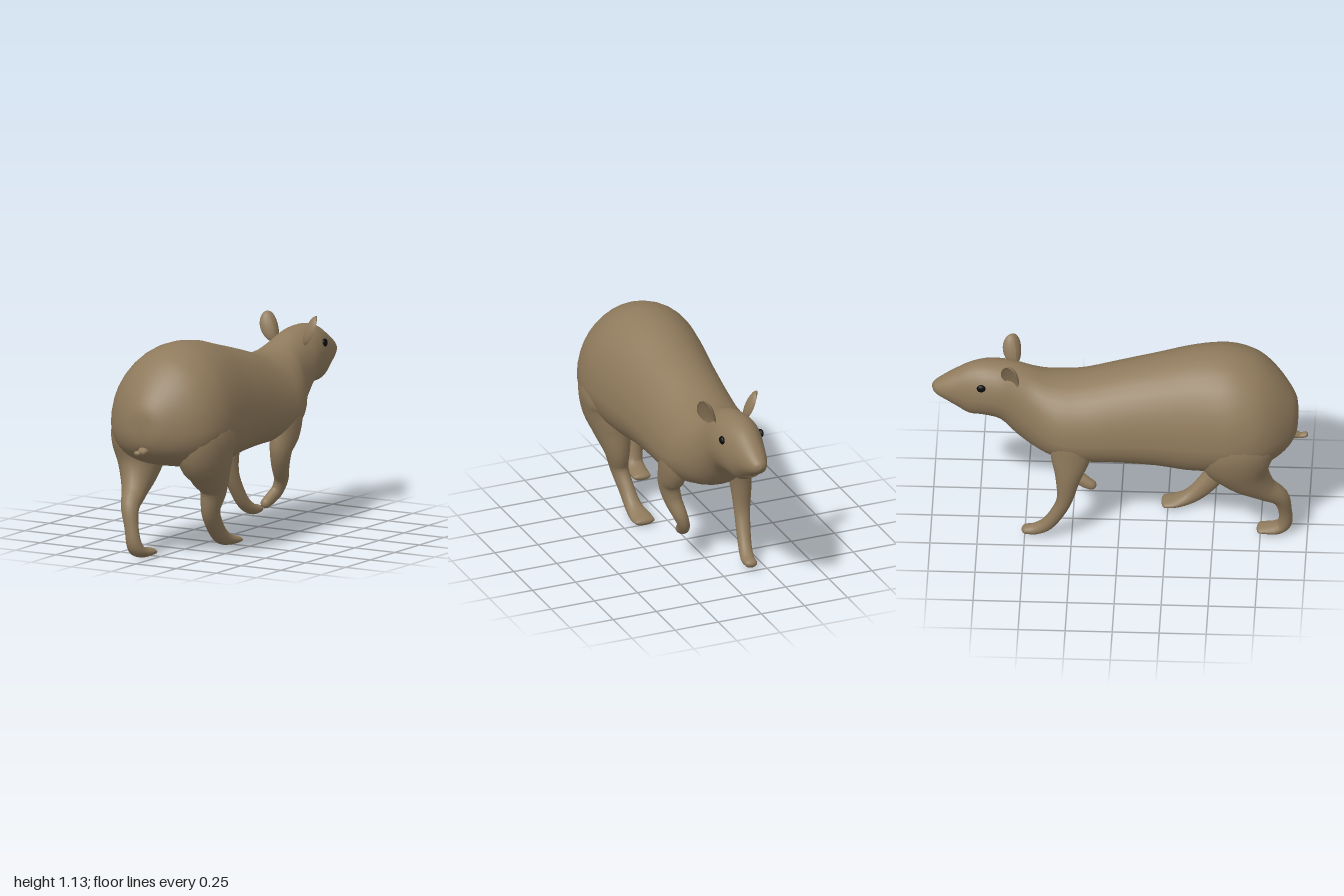
import * as THREE from 'three';

const fur = new THREE.MeshStandardMaterial({ color: 0x8f7a5c, side: THREE.DoubleSide });
const black = new THREE.MeshStandardMaterial({ color: 0x0a0a0a });

// Skin a list of rings (each an array of Vector3) into one smooth closed-around surface
function skin(name, rings) {
  const n = rings[0].length, pos = [], idx = [];
  rings.forEach(r => r.forEach(p => pos.push(p.x, p.y, p.z)));
  for (let i = 0; i < rings.length - 1; i++) {
    for (let j = 0; j < n; j++) {
      const a = i * n + j, b = i * n + (j + 1) % n;
      idx.push(a, b, a + n, b, b + n, a + n);
    }
  }
  const g = new THREE.BufferGeometry();
  g.setAttribute('position', new THREE.Float32BufferAttribute(pos, 3));
  g.setIndex(idx);
  g.computeVertexNormals();
  const mesh = new THREE.Mesh(g, fur);
  mesh.name = name;
  return mesh;
}

const spline = pts => new THREE.CatmullRomCurve3(pts.map(p => new THREE.Vector3(...p)), false, 'catmullrom', 0.5);

// Trunk, neck and head: upright sections [z, top, bottom, halfWidth], rump to nose
function torso(sections) {
  const outline = spline(sections.map(s => [s[0], s[1], s[2]]));
  const width = spline(sections.map(s => [s[3], 0, 0]));
  const rings = [], steps = (sections.length - 1) * 3, n = 36;
  for (let i = 0; i <= steps; i++) {
    const o = outline.getPoint(i / steps), w = Math.max(0, width.getPoint(i / steps).x);
    // The trunk hangs low and full; the head is closer to an ellipse
    const full = THREE.MathUtils.smoothstep(o.x, -0.6, -0.2);
    const mid = THREE.MathUtils.lerp(o.z, o.y, 0.46 - 0.09 * full);
    const power = 0.9 - 0.2 * full;
    rings.push(Array.from({ length: n }, (_, j) => {
      const a = j / n * Math.PI * 2, c = Math.cos(a), s = Math.sin(a);
      const cx = s < 0 ? Math.sign(c) * Math.pow(Math.abs(c), power) : c;
      return new THREE.Vector3(-w * cx, mid + s * (s > 0 ? o.y - mid : mid - o.z), o.x);
    }));
  }
  return skin('body', rings);
}

// Limb along a path: points [x, y, z, sideRadius, depthRadius], with a rounded tip
function limb(name, points) {
  const path = spline(points.map(p => p.slice(0, 3)));
  const radii = spline(points.map(p => [p[3], p[4], 0]));
  const rings = [], steps = (points.length - 1) * 4, n = 18;
  const addRing = (c, t, rx, ry) => {
    const side = new THREE.Vector3(1, 0, 0).addScaledVector(t, -t.x).normalize();
    const up = new THREE.Vector3().crossVectors(t, side);
    rings.push(Array.from({ length: n }, (_, j) => {
      const a = j / n * Math.PI * 2;
      return c.clone().addScaledVector(side, rx * Math.cos(a)).addScaledVector(up, ry * Math.sin(a));
    }));
  };
  for (let i = 0; i <= steps; i++) {
    const r = radii.getPoint(i / steps);
    addRing(path.getPoint(i / steps), path.getTangent(i / steps), r.x, r.y);
  }
  const end = path.getPoint(1), t = path.getTangent(1), [rx, ry] = points[points.length - 1].slice(3);
  for (const a of [0.4, 0.8, 1.2, Math.PI / 2]) {
    addRing(end.clone().addScaledVector(t, ry * Math.sin(a)), t, rx * Math.cos(a), ry * Math.cos(a));
  }
  return skin(name, rings);
}

// Cupped ear: a flattened sphere, narrower at the base and hollowed on its outer face
function ear(side) {
  const g = new THREE.SphereGeometry(1, 20, 14), p = g.attributes.position;
  for (let i = 0; i < p.count; i++) {
    const x = p.getX(i), y = p.getY(i), z = p.getZ(i);
    const taper = 0.94 + 0.06 * y;
    const hollow = x > 0 ? -0.3 * x : x;
    p.setXYZ(i, hollow * 0.03 + 0.02 * z * z * taper, y * 0.086, z * 0.056 * taper);
  }
  g.computeVertexNormals();
  const mesh = new THREE.Mesh(g, fur);
  mesh.rotation.set(0.08, 0.5, -0.42);
  const pivot = new THREE.Group();
  pivot.add(mesh);
  pivot.name = side > 0 ? 'leftEar' : 'rightEar';
  pivot.position.set(side * 0.125, 1.022, -0.572);
  pivot.scale.x = side;
  return pivot;
}

export function createModel() {
  const model = new THREE.Group();

  model.add(torso([
    [0.95, 0.76, 0.72, 0.0],
    [0.94, 0.83, 0.64, 0.09],
    [0.90, 0.905, 0.575, 0.165],
    [0.83, 0.995, 0.53, 0.25],
    [0.74, 1.075, 0.495, 0.312],
    [0.62, 1.122, 0.475, 0.336],
    [0.50, 1.13, 0.46, 0.328],
    [0.36, 1.11, 0.455, 0.308],
    [0.20, 1.065, 0.473, 0.285],
    [0.00, 1.01, 0.48, 0.265],
    [-0.18, 0.957, 0.48, 0.256],
    [-0.30, 0.945, 0.49, 0.248],
    [-0.39, 0.955, 0.505, 0.215],
    [-0.47, 0.985, 0.535, 0.168],
    [-0.55, 1.015, 0.597, 0.146],
    [-0.63, 1.027, 0.685, 0.14],
    [-0.72, 1.028, 0.708, 0.127],
    [-0.80, 1.008, 0.711, 0.105],
    [-0.86, 0.975, 0.748, 0.087],
    [-0.92, 0.937, 0.785, 0.068],
    [-0.97, 0.902, 0.815, 0.045],
    [-0.99, 0.885, 0.835, 0.027],
    [-1.00, 0.866, 0.856, 0.0],
  ]));

  model.add(limb('leftHindLeg', [
    [0.17, 0.84, 0.60, 0.08, 0.1],
    [0.2, 0.70, 0.60, 0.134, 0.19],
    [0.194, 0.58, 0.60, 0.135, 0.212],
    [0.188, 0.46, 0.55, 0.105, 0.148],
    [0.182, 0.35, 0.508, 0.07, 0.09],
    [0.166, 0.23, 0.51, 0.047, 0.063],
    [0.152, 0.13, 0.442, 0.041, 0.053],
    [0.147, 0.062, 0.365, 0.046, 0.041],
    [0.14, 0.036, 0.29, 0.06, 0.027],
    [0.138, 0.03, 0.235, 0.058, 0.02],
  ]));
  model.add(limb('rightHindLeg', [
    [-0.17, 0.84, 0.60, 0.08, 0.1],
    [-0.2, 0.70, 0.61, 0.134, 0.19],
    [-0.194, 0.58, 0.635, 0.135, 0.205],
    [-0.175, 0.455, 0.685, 0.105, 0.132],
    [-0.15, 0.35, 0.77, 0.07, 0.072],
    [-0.125, 0.275, 0.855, 0.05, 0.049],
    [-0.1, 0.17, 0.882, 0.039, 0.036],
    [-0.083, 0.075, 0.88, 0.043, 0.038],
    [-0.075, 0.034, 0.835, 0.052, 0.03],
    [-0.07, 0.026, 0.75, 0.05, 0.02],
  ]));
  // Lifted front leg
  model.add(limb('leftFrontLeg', [
    [0.13, 0.8, -0.25, 0.07, 0.09],
    [0.168, 0.66, -0.245, 0.078, 0.115],
    [0.178, 0.55, -0.225, 0.07, 0.112],
    [0.18, 0.455, -0.183, 0.057, 0.075],
    [0.165, 0.36, -0.2, 0.047, 0.054],
    [0.142, 0.28, -0.246, 0.038, 0.043],
    [0.12, 0.215, -0.243, 0.032, 0.038],
    [0.105, 0.175, -0.195, 0.03, 0.034],
    [0.1, 0.155, -0.157, 0.028, 0.028],
  ]));
  // Front leg reaching ahead
  model.add(limb('rightFrontLeg', [
    [-0.13, 0.8, -0.25, 0.07, 0.09],
    [-0.168, 0.66, -0.25, 0.078, 0.115],
    [-0.184, 0.54, -0.255, 0.07, 0.105],
    [-0.198, 0.42, -0.268, 0.058, 0.068],
    [-0.198, 0.28, -0.285, 0.045, 0.043],
    [-0.188, 0.18, -0.325, 0.039, 0.038],
    [-0.175, 0.095, -0.38, 0.036, 0.036],
    [-0.163, 0.053, -0.44, 0.037, 0.03],
    [-0.16, 0.046, -0.493, 0.035, 0.023],
  ]));

  model.add(limb('tail', [
    [0, 0.615, 0.88, 0.04, 0.035],
    [0, 0.6, 0.93, 0.028, 0.02],
    [0, 0.592, 0.96, 0.02, 0.014],
    [0, 0.598, 0.987, 0.02, 0.014],
  ]));

  // Thin lower lip around the front of the jaw
  model.add(limb('lowerLip', [
    [-0.05, 0.79, -0.84, 0.012, 0.01],
    [-0.03, 0.77, -0.867, 0.012, 0.01],
    [0, 0.765, -0.876, 0.012, 0.01],
    [0.03, 0.77, -0.867, 0.012, 0.01],
    [0.05, 0.79, -0.84, 0.012, 0.01],
  ]));

  for (const side of [1, -1]) {
    model.add(ear(side));
    const eye = new THREE.Mesh(new THREE.SphereGeometry(1, 16, 12), black);
    eye.name = side > 0 ? 'leftEye' : 'rightEye';
    eye.scale.set(0.014, 0.022, 0.024);
    eye.position.set(side * 0.112, 0.93, -0.733);
    model.add(eye);
  }
  return model;
}
